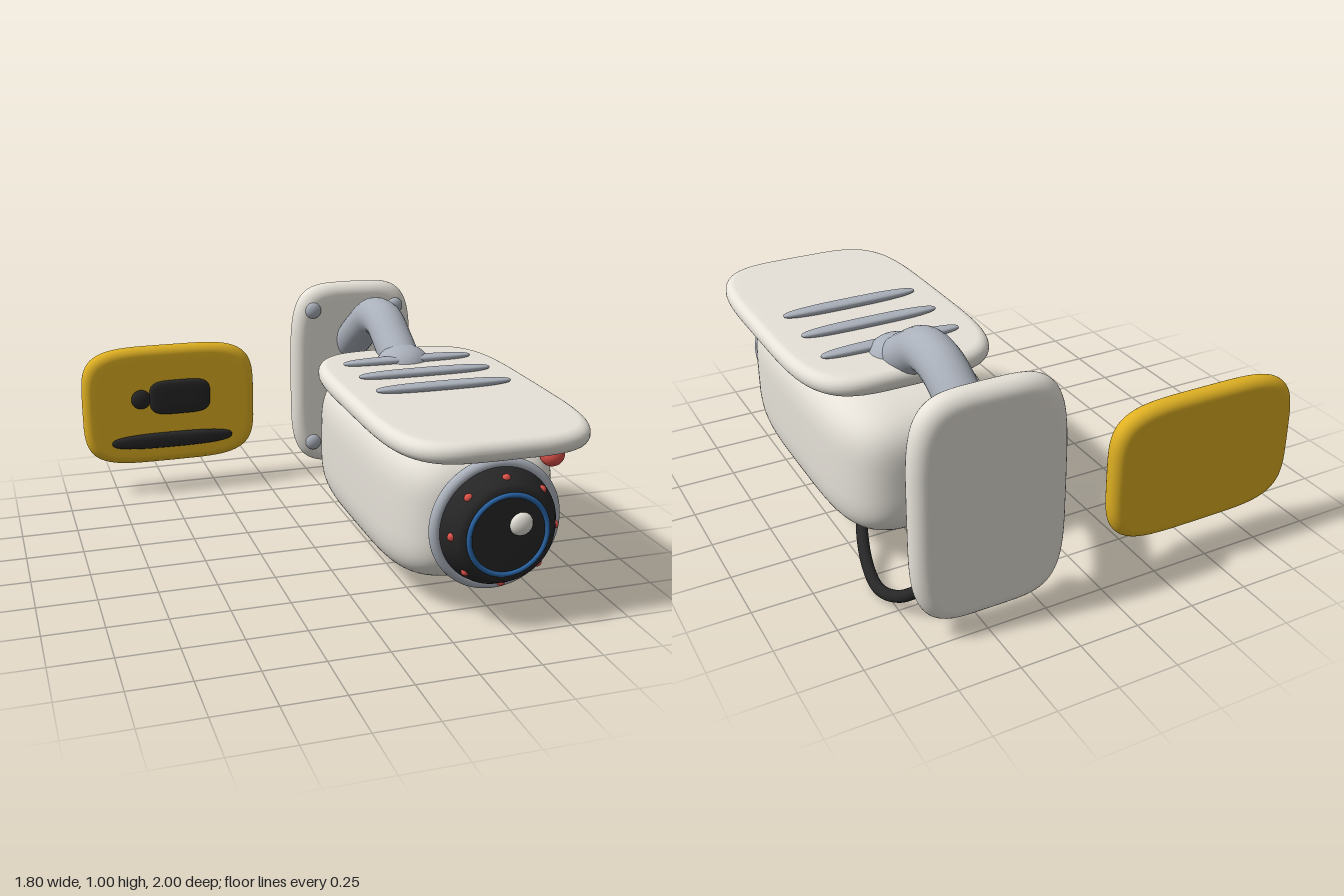
import * as THREE from 'three';
import { mergeVertices } from 'three/addons/utils/BufferGeometryUtils.js';

const mat = (color, side = THREE.FrontSide) => new THREE.MeshStandardMaterial({ color, side });
const cream = mat(0xe6e2d9), steel = mat(0xaab0ba), dark = mat(0x262626);
const yellow = mat(0xdfb022), red = mat(0xe0524a), blue = mat(0x2a66a8);

// signed power, turns a circle into a superellipse
const sp = (v, n) => Math.sign(v) * Math.pow(Math.abs(v), 2 / n);

// Moves lathe vertices by a rule, then welds and smooths the result; axis ends up along z
function warpLathe(profile, rule) {
  const g = new THREE.LatheGeometry(profile, 72);
  const p = g.attributes.position;
  for (let i = 0; i < p.count; i++) {
    const r = Math.hypot(p.getX(i), p.getZ(i));
    const a = Math.atan2(p.getX(i), p.getZ(i));
    const [x, z] = rule(r, Math.sin(a), Math.cos(a));
    p.setXYZ(i, x, p.getY(i), z);
  }
  g.deleteAttribute('normal');
  g.deleteAttribute('uv');
  const out = mergeVertices(g, 1e-5);
  out.rotateX(Math.PI / 2);
  out.computeVertexNormals();
  return out;
}

// Soft block: superellipsoid w x h x d
function softBlock(w, h, d, n = 4) {
  const profile = [];
  for (let i = 0; i <= 40; i++) {
    const t = -Math.PI / 2 + (Math.PI * i) / 40;
    const r = i % 40 === 0 ? 0 : sp(Math.cos(t), n);
    profile.push(new THREE.Vector2(r, (sp(Math.sin(t), n) * d) / 2));
  }
  return warpLathe(profile, (r, s, c) => [(r * sp(s, n) * w) / 2, (r * sp(c, n) * h) / 2]);
}

// Flat pad w x h with superellipse outline, thickness d and rounded rim
function pad(w, h, d, n = 4.3, bevel = d * 0.47) {
  const m = Math.min(w, h) / 2, profile = [];
  const add = (inset, z) => profile.push(new THREE.Vector2((m - inset) / m, z));
  add(m, -d / 2);
  add(bevel * 1.6, -d / 2);
  for (const side of [-1, 1]) {
    for (let i = 0; i <= 8; i++) {
      const t = (Math.PI / 2) * (side < 0 ? 1 - i / 8 : i / 8);
      add(bevel * (1 - Math.cos(t)), side * (d / 2 - bevel + bevel * Math.sin(t)));
    }
  }
  add(bevel * 1.6, d / 2);
  add(m, d / 2);
  return warpLathe(profile, (r, s, c) => {
    const inset = (1 - r) * m;
    return [sp(s, n) * (w / 2 - inset), sp(c, n) * (h / 2 - inset)];
  });
}

export function createModel() {
  const model = new THREE.Group();
  const add = (name, geo, material, x, y, z, parent = model) => {
    const mesh = new THREE.Mesh(geo, material);
    mesh.name = name;
    mesh.position.set(x, y, z);
    parent.add(mesh);
    return mesh;
  };
  const ball = (name, material, x, y, z, rx, ry = rx, rz = rx, parent = model) => {
    const mesh = add(name, new THREE.SphereGeometry(1, 32, 20), material, x, y, z, parent);
    mesh.scale.set(rx, ry, rz);
    return mesh;
  };
  const tube = (name, pts, r, material) => {
    const curve = new THREE.CatmullRomCurve3(pts.map((p) => new THREE.Vector3(...p)));
    return add(name, new THREE.TubeGeometry(curve, 64, r, 24), material, 0, 0, 0);
  };
  const cx = 0.47;

  // Camera housing and sun hood
  add('housing', softBlock(0.72, 0.63, 1.365), cream, cx, 0.405, 0.138);
  const hood = add('hood', pad(0.85, 1.37, 0.085), cream, cx, 0.755, 0.307);
  hood.rotation.x = -Math.PI / 2 + 0.01;
  for (const z of [-0.125, 0.09, 0.305])
    add('hoodRib', softBlock(0.6, 0.034, 0.068, 2.8), steel, cx, 0.81, z);

  // Lens assembly
  const lens = new THREE.Group();
  lens.name = 'lens';
  lens.position.set(cx, 0.41, 0);
  model.add(lens);
  const barrel = [[0, 0.78], [0.225, 0.78], [0.24, 0.81], [0.24, 0.87], [0.234, 0.9], [0.215, 0.935],
    [0.2, 0.96], [0.185, 0.971], [0.165, 0.974], [0, 0.974]].map((p) => new THREE.Vector2(...p));
  add('lensBarrel', new THREE.LatheGeometry(barrel, 64).rotateX(Math.PI / 2), dark, 0, 0, 0, lens);
  add('lensBezel', new THREE.TorusGeometry(0.248, 0.025, 20, 72), steel, 0, 0, 0.85, lens);
  add('lensRing', new THREE.TorusGeometry(0.161, 0.011, 14, 64), blue, 0, 0, 0.971, lens);
  for (let i = 0; i < 8; i++) {
    const a = (i * Math.PI) / 4;
    ball('infraredLight', red, 0.212 * Math.cos(a), 0.212 * Math.sin(a), 0.928, 0.018, 0.018, 0.014, lens);
  }
  ball('lensGlint', cream, 0.05, 0.04, 0.974, 0.047, 0.047, 0.026, lens);
  ball('statusLight', red, 0.73, 0.645, 0.785, 0.05);

  // Wall plate with screws
  add('wallPlate', pad(0.63, 0.94, 0.115), cream, cx, 0.535, -0.942);
  for (const x of [0.255, 0.685])
    for (const y of [0.88, 0.19]) ball('screw', steel, x, y, -0.882, 0.04, 0.04, 0.024);

  // Mounting arm, joint and cable
  tube('arm', [[cx, 0.74, -0.15], [cx, 0.835, -0.3], [cx, 0.91, -0.44], [cx, 0.905, -0.58],
    [cx, 0.82, -0.74], [cx, 0.7, -0.92]], 0.09, steel);
  ball('armJoint', steel, cx, 0.775, -0.18, 0.12, 0.088, 0.115);
  const cable = [[0.68, 0.16, -0.255], [0.73, 0.12, -0.36], [0.768, 0.055, -0.5],
    [0.775, 0.028, -0.62], [0.745, 0.075, -0.76], [0.66, 0.205, -0.9]];
  tube('cable', cable, 0.024, dark);
  ball('cableEnd', dark, ...cable[0], 0.024);

  // Warning sign with a camera pictogram
  add('signBoard', pad(0.855, 0.595, 0.086), yellow, -0.475, 0.448, -0.942);
  add('signCameraBody', softBlock(0.3, 0.17, 0.04), dark, -0.43, 0.495, -0.882);
  ball('signCameraLens', dark, -0.622, 0.493, -0.885, 0.048, 0.048, 0.022);
  add('signBar', softBlock(0.6, 0.075, 0.045, 2.8), dark, -0.473, 0.277, -0.882);

  return model;
}
